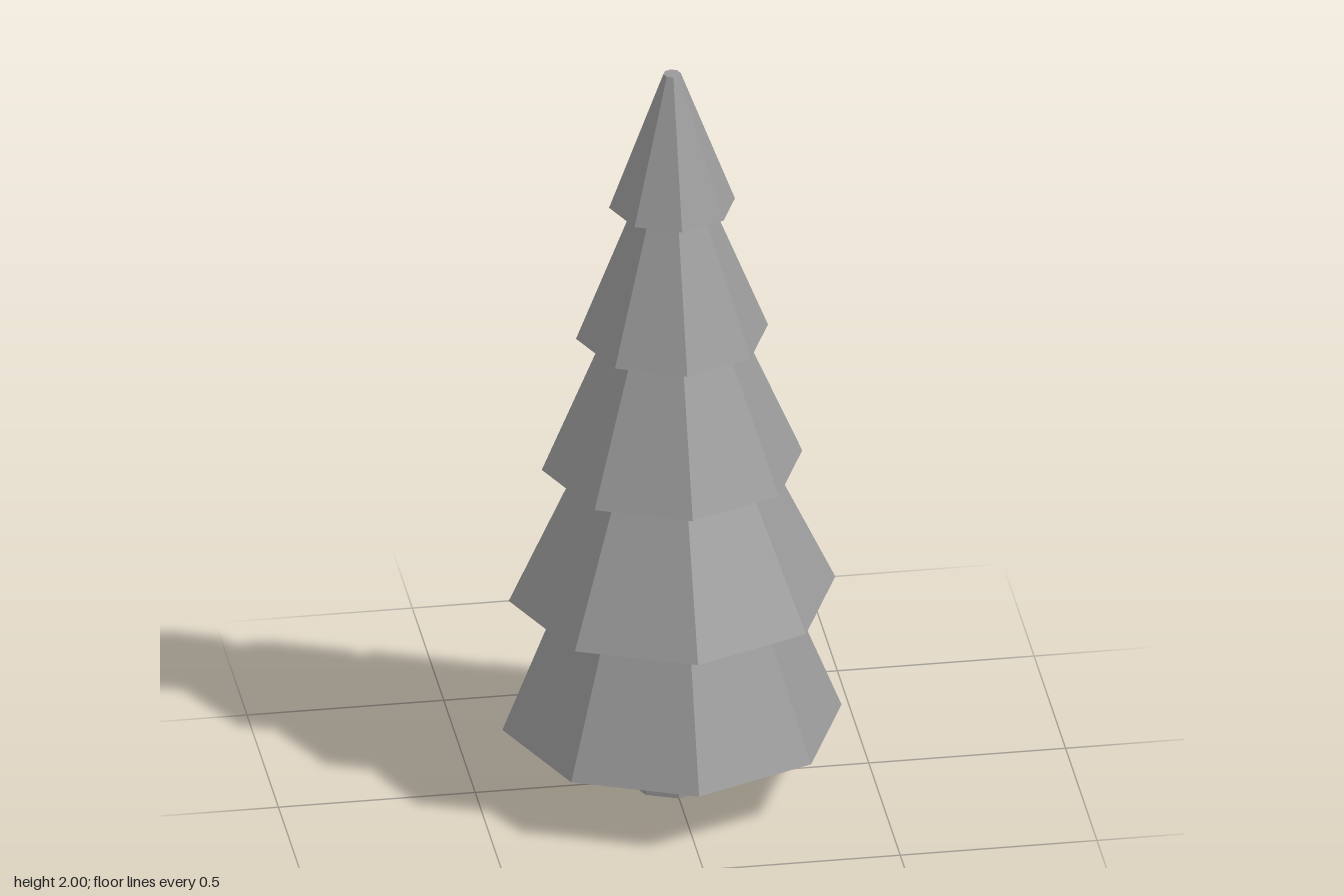
import * as THREE from 'three';

const SIDES = 8;
const TOP = 2;

// Each tier of branches: rim height, rim radius, and the radius at the next rim's height
const TIERS = [
  { y: 0.172, rim: 0.431, neck: 0.285 },
  { y: 0.537, rim: 0.415, neck: 0.242 },
  { y: 0.902, rim: 0.331, neck: 0.175 },
  { y: 1.267, rim: 0.244, neck: 0.098 },
  { y: 1.632, rim: 0.16, neck: 0.022 },
];
const TUCK = 0.08; // how far a tier rises inside the skirt above it

export function createModel() {
  const tree = new THREE.Group();
  tree.name = 'pineTree';
  const material = new THREE.MeshStandardMaterial({ color: 0x999999, flatShading: true });

  // Foliage: a stepped profile with a flat bottom and hollowed undersides
  const profile = [new THREE.Vector2(0, TIERS[0].y)];
  TIERS.forEach(({ y, rim, neck }, i) => {
    const next = TIERS[i + 1];
    profile.push(new THREE.Vector2(rim, y));
    if (next) {
      const slope = (rim - neck) / (next.y - y);
      profile.push(new THREE.Vector2(neck - slope * TUCK, next.y + TUCK));
    } else {
      profile.push(new THREE.Vector2(neck, TOP), new THREE.Vector2(0, TOP));
    }
  });
  const foliage = new THREE.Mesh(new THREE.LatheGeometry(profile, SIDES), material);
  foliage.name = 'foliage';
  tree.add(foliage);

  // Trunk
  const height = TIERS[0].y;
  const trunk = new THREE.Mesh(new THREE.CylinderGeometry(0.113, 0.113, height, SIDES), material);
  trunk.name = 'trunk';
  trunk.position.y = height / 2;
  tree.add(trunk);

  return tree;
}
